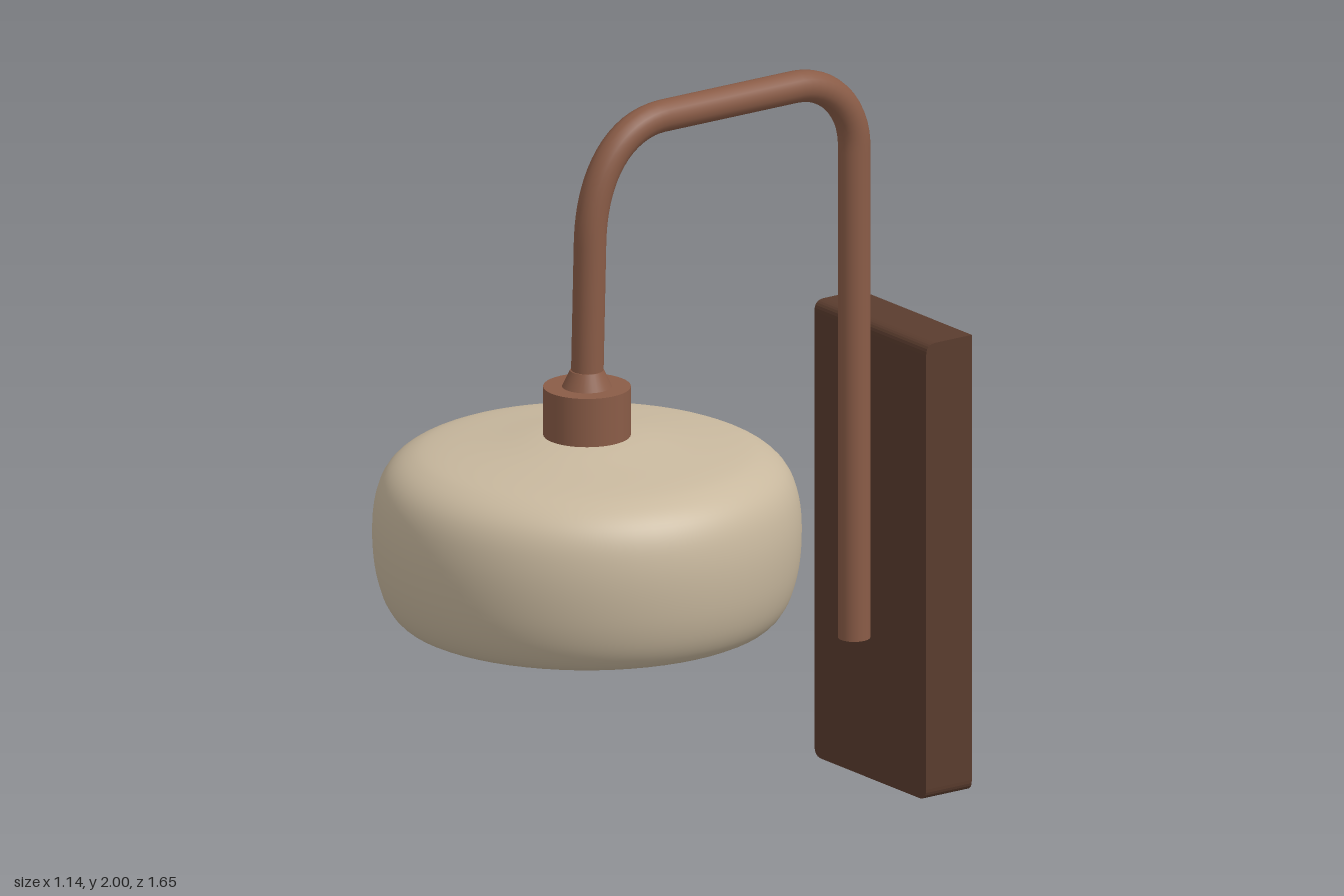
import * as THREE from 'three';

const bronze = new THREE.MeshStandardMaterial({ name: 'bronze', color: 0x8a5c47 });
const darkWood = new THREE.MeshStandardMaterial({ name: 'darkBrown', color: 0x5a3c2e });
const cream = new THREE.MeshStandardMaterial({ name: 'cream', color: 0xc8b89e });
const grey = new THREE.MeshStandardMaterial({ name: 'grey', color: 0x9a9c9a });

const LAMP_Z = 0.25;
const ARM_R = 0.043;
const POST_Z = -0.627;

function add(group, name, geometry, material, x = 0, y = 0, z = 0) {
  const mesh = new THREE.Mesh(geometry, material);
  mesh.name = name;
  mesh.position.set(x, y, z);
  group.add(mesh);
  return mesh;
}

// Smooth revolved surface through a few [radius, height] points
function revolve(points) {
  const curve = new THREE.SplineCurve(points.map(([r, y]) => new THREE.Vector2(r, y)));
  const profile = curve.getPoints(points.length * 4);
  profile.forEach(p => { p.x = Math.max(p.x, 0); });
  return new THREE.LatheGeometry(profile, 64);
}

// Wall plate: rounded lower corners and a softened upper front edge
function createWallPlate() {
  const plate = new THREE.Group();
  plate.name = 'wallPlate';
  const w = 0.248, r = 0.03, back = -0.83, front = -0.68, top = 1.26;
  const face = new THREE.Shape();
  face.moveTo(-w, top - r);
  face.lineTo(-w, r);
  face.quadraticCurveTo(-w, 0, -w + r, 0);
  face.lineTo(w - r, 0);
  face.quadraticCurveTo(w, 0, w, r);
  face.lineTo(w, top - r);
  face.closePath();
  const body = new THREE.ExtrudeGeometry(face, { depth: front - back, bevelEnabled: false, curveSegments: 6 });
  add(plate, 'plateBody', body, darkWood, 0, 0, back);

  const edge = new THREE.Shape();
  edge.moveTo(back, top - r);
  edge.lineTo(front, top - r);
  edge.quadraticCurveTo(front, top, front - r, top);
  edge.lineTo(back, top);
  edge.closePath();
  const strip = new THREE.ExtrudeGeometry(edge, { depth: 2 * w, bevelEnabled: false, curveSegments: 6 });
  strip.rotateY(-Math.PI / 2);
  add(plate, 'plateTopEdge', strip, darkWood, w, 0, 0);
  return plate;
}

// Bent tube running up the wall, forward, and down to the lamp
function createArm() {
  const arm = new THREE.Group();
  arm.name = 'arm';
  const v = (y, z) => new THREE.Vector3(0, y, z);
  const topY = 2 - ARM_R;
  const path = new THREE.CurvePath();
  path.add(new THREE.LineCurve3(v(0.4, POST_Z), v(1.76, POST_Z)));
  path.add(new THREE.CubicBezierCurve3(v(1.76, POST_Z), v(1.87, POST_Z), v(topY, -0.54), v(topY, -0.43)));
  path.add(new THREE.LineCurve3(v(topY, -0.43), v(topY, 0)));
  path.add(new THREE.CubicBezierCurve3(v(topY, 0), v(topY, 0.14), v(1.84, 0.235), v(1.65, 0.24)));
  path.add(new THREE.LineCurve3(v(1.65, 0.24), v(1.25, LAMP_Z)));
  add(arm, 'armTube', new THREE.TubeGeometry(path, 120, ARM_R, 20), bronze);
  const cap = new THREE.CircleGeometry(ARM_R, 20).rotateX(Math.PI / 2);
  add(arm, 'armEndCap', cap, bronze, 0, 0.4, POST_Z);
  return arm;
}

function createLamp() {
  const lamp = new THREE.Group();
  lamp.name = 'lamp';
  lamp.position.z = LAMP_Z;

  // Socket cap and flared collar
  add(lamp, 'socket', new THREE.CylinderGeometry(0.116, 0.116, 0.155, 40), bronze, 0, 1.178, 0);
  add(lamp, 'collar', new THREE.CylinderGeometry(0.045, 0.066, 0.045, 32), bronze, 0, 1.278, 0);

  // Outer shell of the shade, from rim to crown
  add(lamp, 'shadeOuter', revolve([
    [0.45, 0.61], [0.5, 0.628], [0.535, 0.675], [0.557, 0.745], [0.567, 0.83], [0.565, 0.91],
    [0.55, 0.98], [0.52, 1.03], [0.47, 1.065], [0.4, 1.085], [0.25, 1.105], [0.12, 1.122], [0, 1.126],
  ]), cream);

  // Inner wall, light ring and recessed dome
  add(lamp, 'shadeInner', revolve([[0.4, 0.745], [0.425, 0.69], [0.44, 0.63], [0.45, 0.61]]), cream);
  add(lamp, 'lightRing', new THREE.RingGeometry(0.26, 0.402, 64).rotateX(Math.PI / 2), grey, 0, 0.743, 0);
  add(lamp, 'recess', revolve([[0, 0.92], [0.13, 0.895], [0.22, 0.83], [0.26, 0.743]]), cream);
  return lamp;
}

export function createModel() {
  const model = new THREE.Group();
  model.name = 'wallLamp';
  model.add(createWallPlate(), createArm(), createLamp());
  return model;
}
